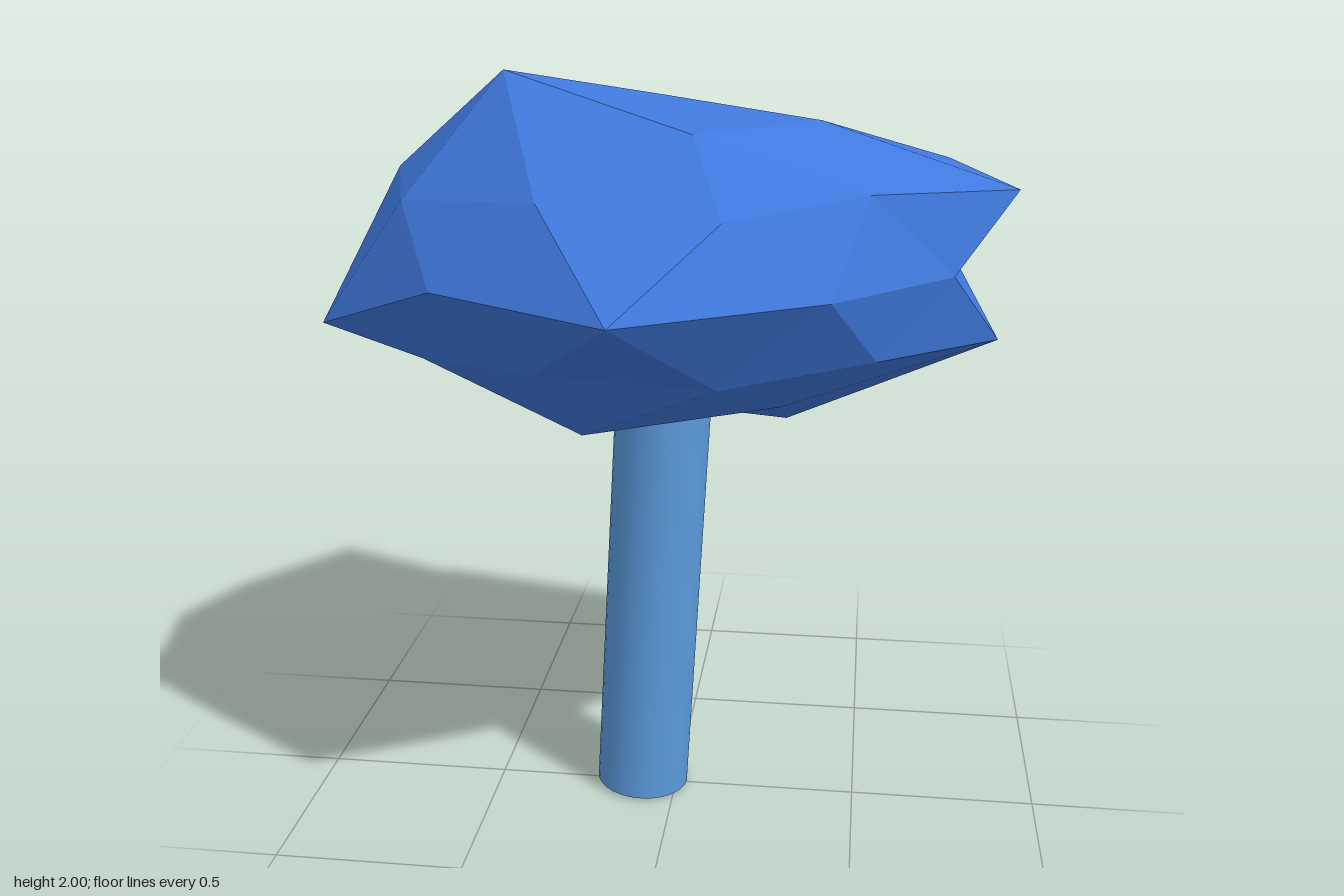
import * as THREE from 'three';

const CENTRE = new THREE.Vector3(-0.05, 1.53, -0.01);
const RADII = new THREE.Vector3(0.78, 0.4, 0.63);

// Unit direction from azimuth (degrees from +z towards +x) and height on the unit sphere
function direction(azimuth, y) {
  const a = THREE.MathUtils.degToRad(azimuth);
  const h = Math.sqrt(1 - y * y);
  return new THREE.Vector3(h * Math.sin(a), y, h * Math.cos(a));
}

// Crown corners pulled out of the regular shape: azimuth, unit height, final position
const PULLED = [
  [306, 0.851, [-0.39, 2.0, 0.18]],
  [90, 0.447, [0.85, 1.71, -0.01]],
  [126, 0.526, [0.69, 1.74, -0.33]],
  [0, 0, [-0.05, 1.53, 0.79]],
  [144, 0, [0.61, 1.53, -0.51]],
  [216, 0, [-0.46, 1.53, -0.8]],
  [252, 0, [-0.71, 1.53, -0.19]],
  [288, 0, [-0.85, 1.39, 0.26]],
  [126, -0.447, [0.71, 1.36, -0.34]],
  [90, -0.526, [0.82, 1.33, -0.01]],
  [126, -0.851, [0.28, 1.035, -0.22]],
  [342, -0.851, [-0.19, 1.145, 0.33]],
].map(([azimuth, y, to]) => ({ dir: direction(azimuth, y), to: new THREE.Vector3(...to) }));

function crownPoint(dir) {
  const pulled = PULLED.find((p) => p.dir.distanceTo(dir) < 0.05);
  return pulled ? pulled.to : dir.clone().multiply(RADII).add(CENTRE);
}

// Icosahedron standing on a corner, each face split into four
function crownGeometry() {
  const top = new THREE.Vector3(0, 1, 0);
  const bottom = new THREE.Vector3(0, -1, 0);
  const lat = 1 / Math.sqrt(5);
  const upper = (k) => direction(18 + 72 * k, lat);
  const lower = (k) => direction(54 + 72 * k, -lat);
  const mid = (a, b) => a.clone().add(b).normalize();
  const positions = [];
  const face = (...dirs) => dirs.forEach((d) => positions.push(...crownPoint(d).toArray()));
  const split = (a, b, c) => {
    const ab = mid(a, b), bc = mid(b, c), ca = mid(c, a);
    face(a, ab, ca);
    face(ab, b, bc);
    face(ca, bc, c);
    face(ab, bc, ca);
  };
  for (let k = 0; k < 5; k++) {
    split(top, upper(k), upper(k + 1));
    split(upper(k), lower(k), upper(k + 1));
    split(lower(k), lower(k + 1), upper(k + 1));
    split(bottom, lower(k + 1), lower(k));
  }
  const geometry = new THREE.BufferGeometry();
  geometry.setAttribute('position', new THREE.Float32BufferAttribute(positions, 3));
  geometry.computeVertexNormals();
  return geometry;
}

export function createModel() {
  const model = new THREE.Group();
  model.name = 'tree';

  // Faceted foliage
  const crown = new THREE.Mesh(
    crownGeometry(),
    new THREE.MeshStandardMaterial({ color: 0x3f78dd, flatShading: true })
  );
  crown.name = 'crown';
  model.add(crown);

  // Smooth round trunk, leaning slightly and ending inside the crown
  const foot = new THREE.Vector3(-0.097, 0.01, -0.01);
  const head = new THREE.Vector3(-0.03, 1.22, -0.01);
  const axis = head.clone().sub(foot);
  const trunk = new THREE.Mesh(
    new THREE.CylinderGeometry(0.127, 0.127, axis.length(), 32),
    new THREE.MeshStandardMaterial({ color: 0x5c9cde })
  );
  trunk.name = 'trunk';
  trunk.position.copy(foot).add(head).multiplyScalar(0.5);
  trunk.quaternion.setFromUnitVectors(new THREE.Vector3(0, 1, 0), axis.normalize());
  model.add(trunk);

  return model;
}
